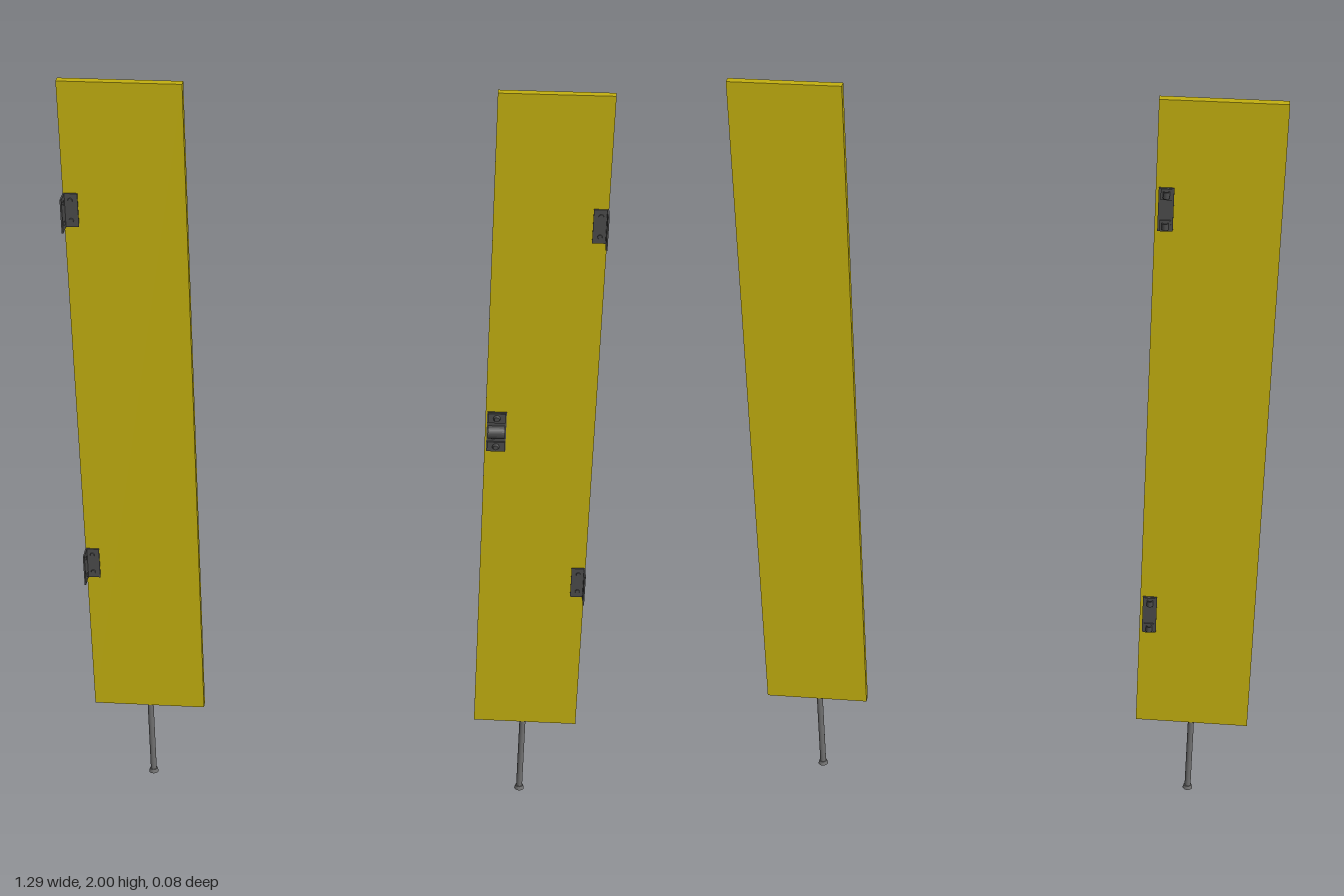
import * as THREE from 'three';

const paint = new THREE.MeshStandardMaterial({ color: 0xc4b010 });
const dark = new THREE.MeshStandardMaterial({ color: 0x4c4c4c, side: THREE.DoubleSide });
const steel = new THREE.MeshStandardMaterial({ color: 0x707070 });

const FRONT = -0.002, BACK = -0.023, MID = (FRONT + BACK) / 2;

function add(parent, name, geometry, material, x = 0, y = 0, z = 0) {
  const mesh = new THREE.Mesh(geometry, material);
  mesh.name = name;
  mesh.position.set(x, y, z);
  parent.add(mesh);
  return mesh;
}

// Box given by its limits on each axis
function slab(parent, name, material, [x0, x1], [y0, y1], [z0, z1]) {
  return add(parent, name, new THREE.BoxGeometry(x1 - x0, y1 - y0, z1 - z0), material,
    (x0 + x1) / 2, (y0 + y1) / 2, (z0 + z1) / 2);
}

// Round screw head facing along z
function screw(parent, x, y, z, radius, height) {
  const geometry = new THREE.CylinderGeometry(radius * 0.7, radius, height, 16).rotateX(Math.PI / 2);
  return add(parent, 'screw', geometry, dark, x, y, z + height / 2);
}

// Hollow ring with its axis along z
function ringGeometry(outer, inner, depth) {
  const shape = new THREE.Shape().absarc(0, 0, outer, 0, Math.PI * 2);
  shape.holes.push(new THREE.Path().absarc(0, 0, inner, 0, Math.PI * 2, true));
  return new THREE.ExtrudeGeometry(shape, { depth, bevelEnabled: false, curveSegments: 14 })
    .translate(0, 0, -depth / 2);
}

// Plate with two round holes, thickness along z
function drilledPlate(w, h, depth, holeY, radius) {
  const shape = new THREE.Shape([[-w, -h], [w, -h], [w, h], [-w, h]]
    .map(([x, y]) => new THREE.Vector2(x / 2, y / 2)));
  for (const s of [-1, 1]) {
    shape.holes.push(new THREE.Path().absarc(0, s * holeY, radius, 0, Math.PI * 2, true));
  }
  return new THREE.ExtrudeGeometry(shape, { depth, bevelEnabled: false, curveSegments: 8 });
}

// L-shaped hinge bracket on the outer edge of a panel
function hingeBracket(side, edge, y) {
  const group = new THREE.Group();
  group.name = 'hingeBracket';
  const w = 0.035, h = 0.086, t = 0.004;
  add(group, 'bracketFace', drilledPlate(w, h, t, 0.026, 0.006), dark, -side * w / 2, 0, FRONT);
  for (const s of [-1, 1]) screw(group, -side * w / 2, s * 0.026, FRONT, 0.0075, 0.006);
  const flange = add(group, 'bracketFlange', drilledPlate(0.042, h, t, 0.026, 0.006), dark,
    side > 0 ? -t : 0, 0, FRONT + 0.021);
  flange.rotation.y = Math.PI / 2;
  group.position.set(edge, y, 0);
  return group;
}

// Front latch: two screwed tabs joined by a round eye
function latch(x, y) {
  const group = new THREE.Group();
  group.name = 'frontLatch';
  slab(group, 'latchBase', dark, [-0.024, 0.024], [-0.055, 0.055], [FRONT, 0.001]);
  for (const s of [-1, 1]) {
    slab(group, 'latchTab', dark, [-0.022, 0.022], [s * 0.04 - 0.013, s * 0.04 + 0.013], [0, 0.006]);
    screw(group, 0, s * 0.04, 0.006, 0.009, 0.006);
  }
  add(group, 'latchEye', ringGeometry(0.017, 0.013, 0.042).rotateY(Math.PI / 2), dark, 0, 0, 0.002);
  group.position.set(x, y, 0);
  return group;
}

// Back hinge: a plate with a knuckle and a screw at each end
function backHinge(x, y) {
  const group = new THREE.Group();
  group.name = 'backHinge';
  slab(group, 'hingePlate', dark, [-0.018, 0.018], [-0.055, 0.055], [BACK - 0.004, BACK]);
  for (const s of [-1, 1]) {
    add(group, 'hingeKnuckle', ringGeometry(0.008, 0.005, 0.016).rotateX(Math.PI / 2), dark,
      0, s * 0.04, BACK - 0.008);
    slab(group, 'hingePad', dark, [-0.013, 0.013], [s * 0.04 - 0.014, s * 0.04 + 0.014],
      [BACK - 0.007, BACK]);
  }
  group.position.set(x, y, 0);
  return group;
}

// Panel with its support leg and outer brackets
function doorPanel(side, x0, x1, legX) {
  const group = new THREE.Group();
  group.name = side > 0 ? 'leftPanel' : 'rightPanel';
  slab(group, 'board', paint, [x0, x1], [0.23, 2], [BACK, FRONT]);
  add(group, 'leg', new THREE.CylinderGeometry(0.008, 0.008, 0.224, 20), steel, legX, 0.12, MID);
  add(group, 'foot', new THREE.CylinderGeometry(0.010, 0.013, 0.010, 20), steel, legX, 0.005, MID);
  for (const y of [0.68, 1.677]) group.add(hingeBracket(side, side > 0 ? x1 : x0, y));
  return group;
}

export function createModel() {
  const model = new THREE.Group();
  model.name = 'doublePanel';
  const right = doorPanel(-1, -0.645, -0.351, -0.497);
  for (const y of [0.575, 1.728]) right.add(backHinge(-0.376, y));
  const left = doorPanel(1, 0.373, 0.642, 0.502);
  left.add(latch(0.401, 1.115));
  model.add(right, left);
  return model;
}
